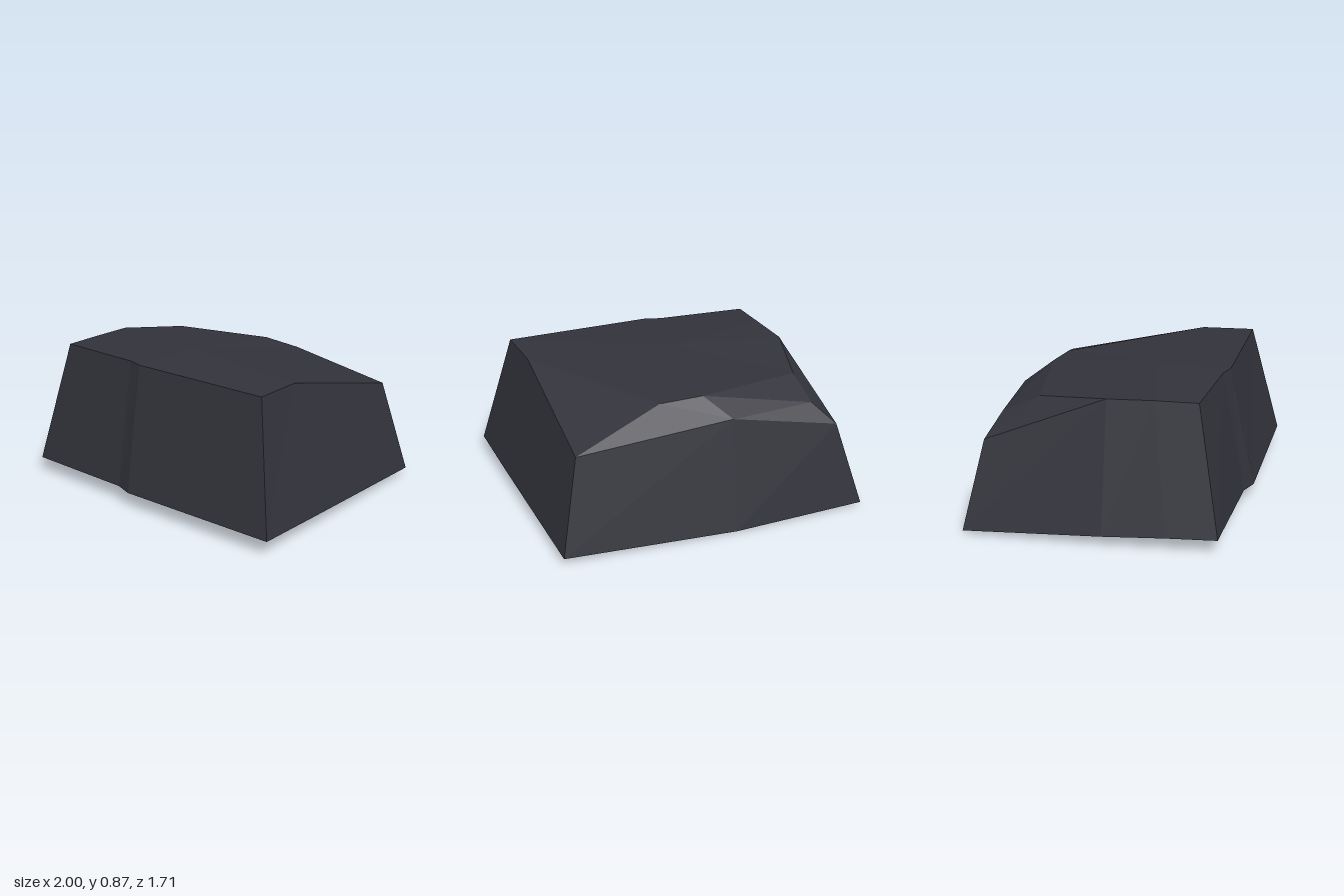
import * as THREE from 'three';

// Outline of the base and of the upper rim, from front left round to the left side
const base = [
  [-0.97, 0.09, 0.685], [-0.22, 0.09, 0.75], [-0.1, 0.09, 0.8], [0.995, 0.09, 0.855], [0.99, 0.075, 0.35],
  [0.97, 0.04, -0.75], [-0.12, 0.01, -0.84], [-0.99, 0.02, -0.855], [-1, 0.065, 0], [-0.99, 0.085, 0.38],
];
const rim = [
  [-0.81, 0.865, 0.54], [-0.23, 0.866, 0.6], [-0.13, 0.866, 0.635], [0.815, 0.858, 0.67], [0.805, 0.855, 0.33],
  [0.835, 0.63, -0.63], [-0.15, 0.705, -0.69], [-0.84, 0.56, -0.745], [-0.825, 0.86, 0], [-0.815, 0.865, 0.28],
];

// Flat-shaded surface from a list of corner triples
function facets(name, triangles, material) {
  const geometry = new THREE.BufferGeometry();
  geometry.setAttribute('position', new THREE.Float32BufferAttribute(triangles.flat(2), 3));
  geometry.computeVertexNormals();
  const mesh = new THREE.Mesh(geometry, material);
  mesh.name = name;
  return mesh;
}

export function createModel() {
  const group = new THREE.Group();
  group.name = 'stoneBlock';
  const stone = new THREE.MeshStandardMaterial({ color: 0x32323b, flatShading: true });
  stone.name = 'dark slate';
  const n = base.length;

  // Sloping walls
  const walls = [];
  for (let i = 0; i < n; i++) {
    const j = (i + 1) % n;
    walls.push([base[i], base[j], rim[j]], [base[i], rim[j], rim[i]]);
  }
  group.add(facets('sloping walls', walls, stone));

  // Top with a chipped back edge
  const crown = [-0.1, 0.87, 0.15];
  const chipLow = [-0.7, 0.7, -0.665], chipHigh = [-0.69, 0.805, -0.44];
  const ridge = [-0.02, 0.815, -0.53], ridgeEnd = [0.25, 0.8, -0.5];
  const top = [
    [rim[4], rim[5], ridgeEnd], [ridgeEnd, rim[5], rim[6]], [ridgeEnd, rim[6], ridge],
    [ridge, rim[6], chipLow], [ridge, chipLow, chipHigh],
    [rim[6], rim[7], chipLow], [rim[7], chipHigh, chipLow], [rim[7], rim[8], chipHigh],
  ];
  const inner = [rim[8], rim[9], rim[0], rim[1], rim[2], rim[3], rim[4], ridgeEnd, ridge, chipHigh];
  inner.forEach((p, i) => top.push([crown, p, inner[(i + 1) % inner.length]]));
  group.add(facets('chipped top', top, stone));

  // Shallow keel underneath
  const keelFront = [-0.1, 0.05, 0.4], keelBack = [-0.12, 0, -0.25];
  const under = [[keelFront, keelBack, base[4]], [keelBack, keelFront, base[9]]];
  for (let i = 0; i < n; i++) {
    const keel = i >= 4 && i < 9 ? keelBack : keelFront;
    under.push([keel, base[(i + 1) % n], base[i]]);
  }
  group.add(facets('underside', under, stone));

  return group;
}
